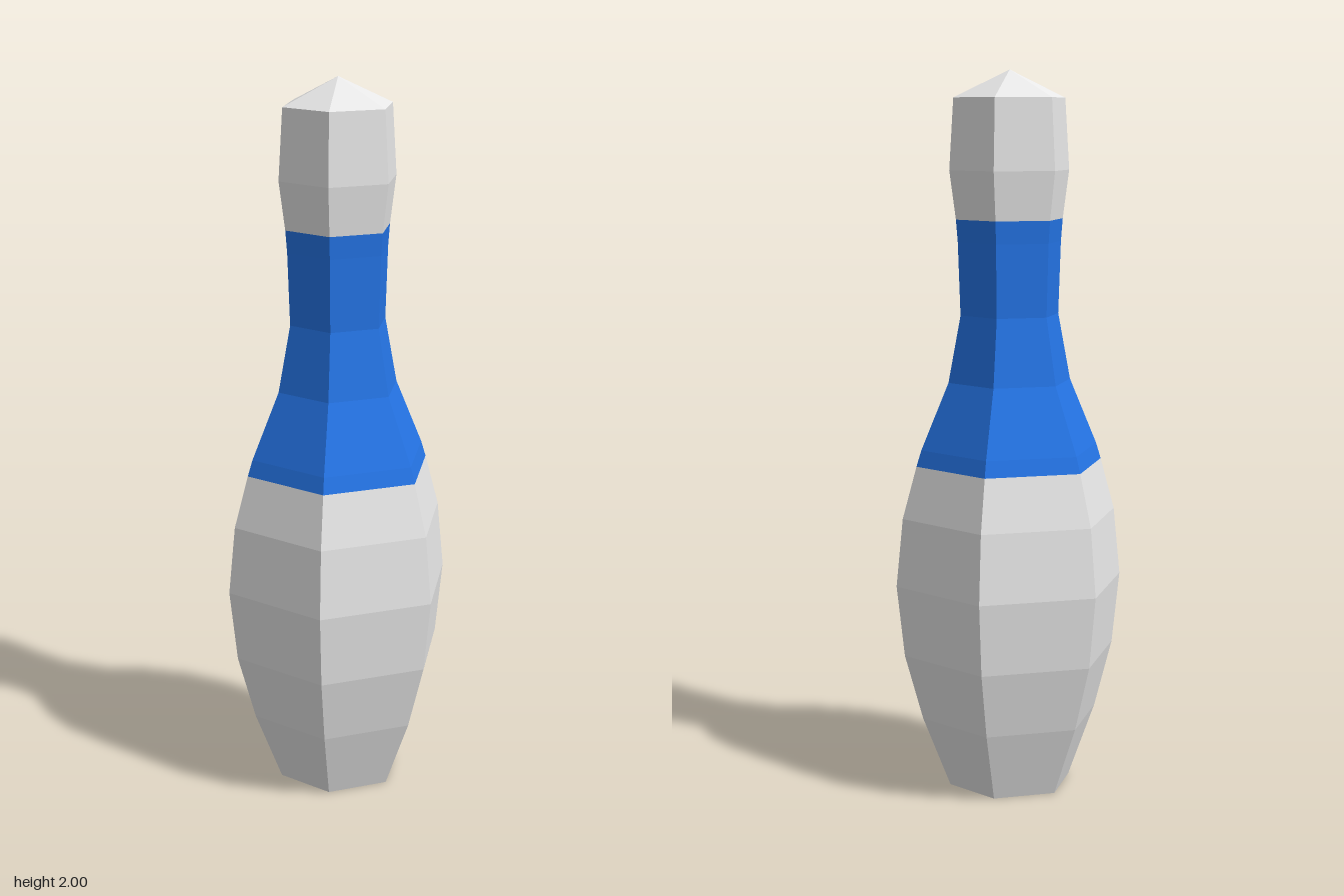
import * as THREE from 'three';

const SIDES = 6;

// Faceted hexagonal section from [radius, height] pairs, listed bottom to top
function section(name, profile, material) {
  const points = profile.map(([r, y]) => new THREE.Vector2(r, y));
  const geometry = new THREE.LatheGeometry(points, SIDES, Math.PI / 2).toNonIndexed();
  geometry.computeVertexNormals();
  const mesh = new THREE.Mesh(geometry, material);
  mesh.name = name;
  return mesh;
}

export function createModel() {
  const white = new THREE.MeshStandardMaterial({ color: 0xf6f6f6 });
  white.name = 'white';
  const blue = new THREE.MeshStandardMaterial({ color: 0x287df6 });
  blue.name = 'blue';

  const pin = new THREE.Group();
  pin.name = 'bowlingPin';

  // Closed base and swelling belly
  pin.add(section('belly', [
    [0, 0], [0.175, 0], [0.253, 0.2], [0.304, 0.385],
    [0.326, 0.585], [0.307, 0.775], [0.267, 0.92],
  ], white));

  // Painted shoulder and narrow neck
  pin.add(section('neckBand', [
    [0.267, 0.92], [0.253, 0.965], [0.175, 1.15],
    [0.14, 1.335], [0.147, 1.535], [0.152, 1.597],
  ], blue));

  // Head with a shallow pointed cap
  pin.add(section('head', [
    [0.152, 1.597], [0.17, 1.73], [0.158, 1.925], [0, 2],
  ], white));

  return pin;
}
